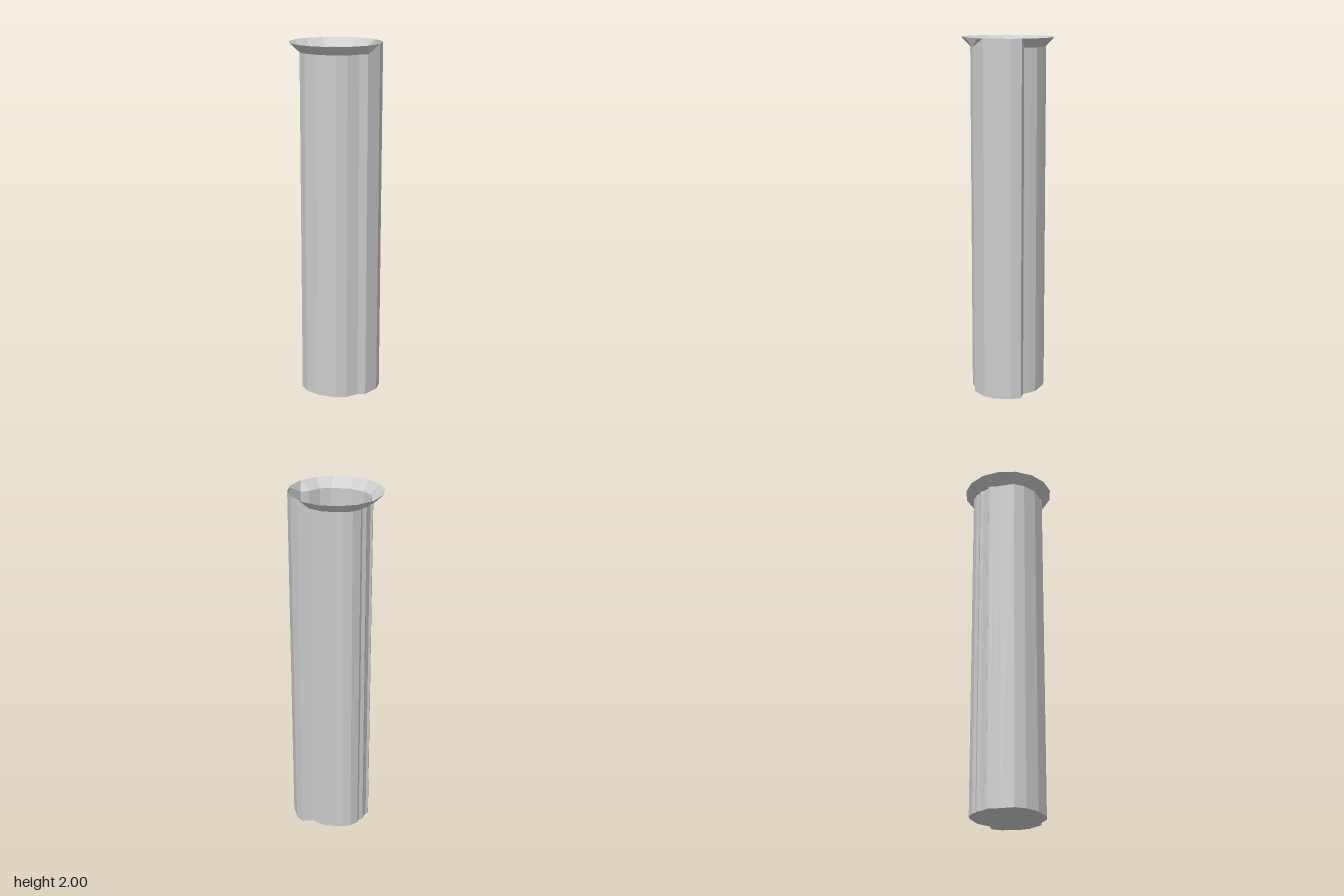
import * as THREE from 'three';

const RIM_Y = 2, NECK_Y = 1.95, RIM_R = 0.257, RIM_SIDES = 16;

// Worn outline of the shaft as [x, z], in order of rising angle from +x
const OUTLINE = [
  [0.255, 0], [0.243, 0.065], [0.184, 0.142], [0.139, 0.151], [0.079, 0.192],
  [0.02, 0.203], [-0.082, 0.18], [-0.154, 0.131], [-0.188, 0.076], [-0.188, 0],
  [-0.186, -0.035], [-0.191, -0.062], [-0.188, -0.076], [-0.175, -0.08],
  [-0.157, -0.112], [-0.152, -0.133], [-0.13, -0.144], [-0.12, -0.165],
  [-0.077, -0.194], [-0.027, -0.203], [0.032, -0.195], [0.08, -0.187],
  [0.116, -0.16], [0.146, -0.134], [0.207, -0.139], [0.239, -0.09],
];

const material = new THREE.MeshStandardMaterial({
  color: 0xcccccc, flatShading: true, side: THREE.DoubleSide,
});

function meshFrom(name, triangles) {
  const geometry = new THREE.BufferGeometry().setFromPoints(triangles);
  geometry.computeVertexNormals();
  const mesh = new THREE.Mesh(geometry, material);
  mesh.name = name;
  return mesh;
}

const angleOf = (p) => (Math.atan2(p.z, p.x) + 2 * Math.PI) % (2 * Math.PI);

export function createModel() {
  const group = new THREE.Group();
  group.name = 'flaredTube';

  // The bulge on the left side runs straight up to the rim height
  const bottom = OUTLINE.map(([x, z]) => new THREE.Vector3(x, 0, z));
  const top = OUTLINE.map(([x, z]) =>
    new THREE.Vector3(x, Math.hypot(x, z) > 0.24 ? RIM_Y : NECK_Y, z));
  const n = OUTLINE.length;

  // Shaft wall and floor
  const wall = [], floor = [], centre = new THREE.Vector3();
  for (let i = 0; i < n; i++) {
    const j = (i + 1) % n;
    wall.push(bottom[i], top[i], bottom[j], bottom[j], top[i], top[j]);
    floor.push(centre, bottom[i], bottom[j]);
  }
  group.add(meshFrom('shaftWall', wall), meshFrom('shaftFloor', floor));

  // Flared rim: join the neck to a regular ring, stepping round by angle
  const ring = Array.from({ length: RIM_SIDES }, (_, k) => {
    const a = (k / RIM_SIDES) * 2 * Math.PI;
    return new THREE.Vector3(RIM_R * Math.cos(a), RIM_Y, RIM_R * Math.sin(a));
  });
  const rim = [];
  let i = 0, j = 0;
  while (i < n || j < RIM_SIDES) {
    const inner = top[i % n], outer = ring[j % RIM_SIDES];
    const nextInner = i + 1 < n ? angleOf(top[i + 1]) : 2 * Math.PI;
    const nextOuter = ((j + 1) / RIM_SIDES) * 2 * Math.PI;
    if (j >= RIM_SIDES || (i < n && nextInner <= nextOuter)) {
      rim.push(inner, outer, top[(i + 1) % n]);
      i++;
    } else {
      rim.push(inner, outer, ring[(j + 1) % RIM_SIDES]);
      j++;
    }
  }
  group.add(meshFrom('flaredRim', rim));

  return group;
}
